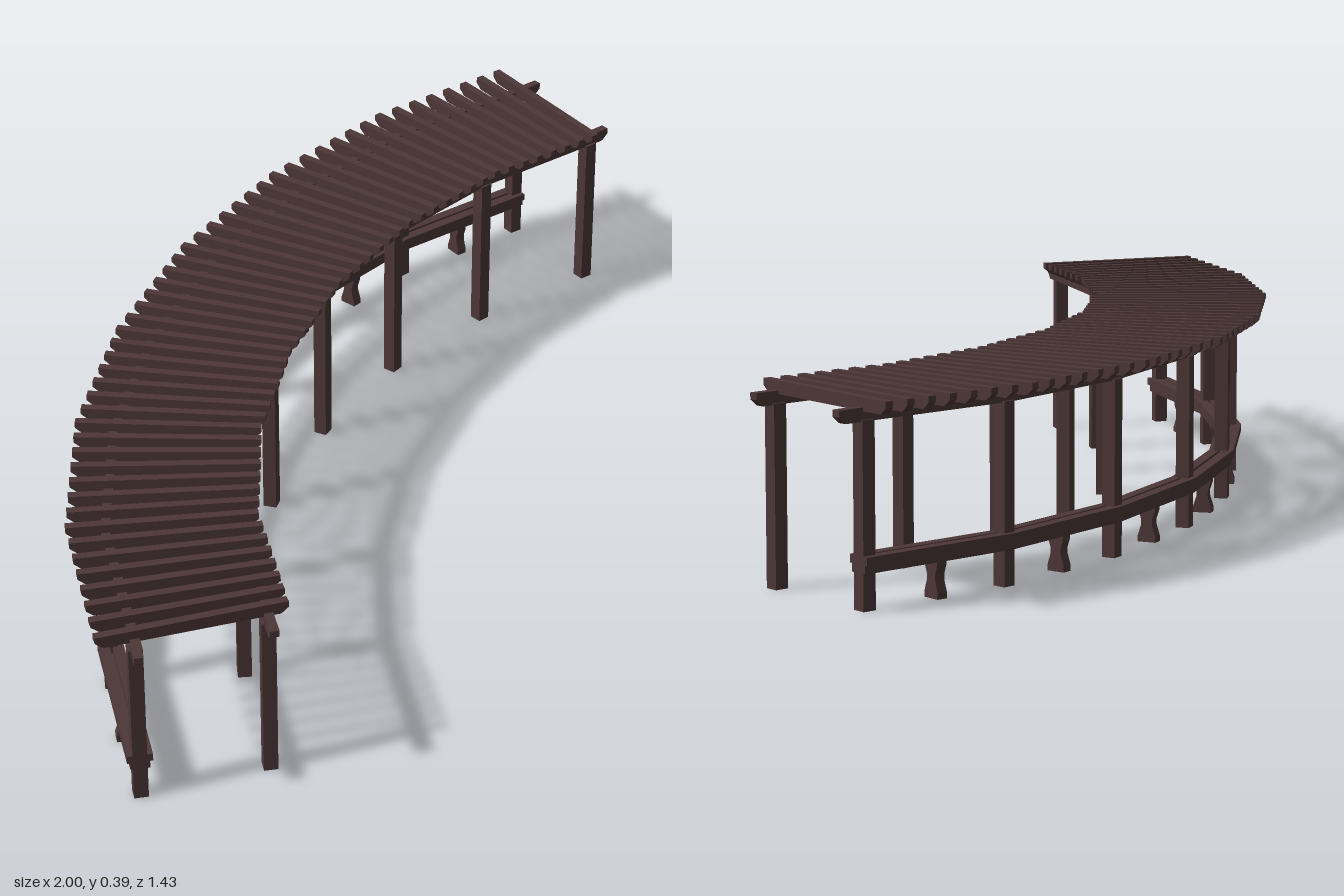
import * as THREE from 'three';

const wood = new THREE.MeshStandardMaterial({ color: 0x4d3737 });
wood.name = 'dark stained wood';

// Post positions in plan [x, z], from the right-hand end round to the left
const OUTER = [[0.935, -0.643], [0.603, -0.643], [0.267, -0.573], [-0.05, -0.443],
  [-0.335, -0.257], [-0.583, -0.026], [-0.787, 0.255], [-0.927, 0.566]];
const INNER = [[0.938, -0.386], [0.633, -0.383], [0.345, -0.33], [0.073, -0.22],
  [-0.175, -0.063], [-0.386, 0.135], [-0.556, 0.38], [-0.682, 0.645]];
const toVectors = (list) => list.map(([x, z]) => new THREE.Vector2(x, z));

// Direction of the path at node i, and the mitred sideways vector there
function nodeFrame(path, i) {
  const before = path[Math.max(i - 1, 0)], after = path[Math.min(i + 1, path.length - 1)];
  const d1 = path[i].clone().sub(before).normalize();
  const d2 = after.clone().sub(path[i]).normalize();
  const dir = d1.clone().add(d2).normalize();
  const scale = i > 0 && i < path.length - 1 ? 1 / dir.dot(d2) : 1;
  return { dir, side: new THREE.Vector2(-dir.y, dir.x).multiplyScalar(scale) };
}

// Mitred rail following a path, between two sideways offsets and two heights
function band(path, from, to, y0, y1) {
  const edge = (offset) => path.map((p, i) => {
    const { side } = nodeFrame(path, i);
    return new THREE.Vector2(p.x + side.x * offset, -(p.y + side.y * offset));
  });
  const shape = new THREE.Shape([...edge(from), ...edge(to).reverse()]);
  const geo = new THREE.ExtrudeGeometry(shape, { depth: y1 - y0, bevelEnabled: false });
  return geo.rotateX(-Math.PI / 2).translate(0, y0, 0);
}

// Straight timber along local x with its lower ends cut at a slant
function timber(length, height, width, cutStart, cutEnd) {
  const h = length / 2;
  const shape = new THREE.Shape();
  shape.moveTo(-h + cutStart, 0);
  shape.lineTo(h - cutEnd, 0);
  shape.lineTo(h, height * 0.5);
  shape.lineTo(h, height);
  shape.lineTo(-h, height);
  shape.lineTo(-h, height * 0.5);
  const geo = new THREE.ExtrudeGeometry(shape, { depth: width, bevelEnabled: false });
  return geo.translate(0, 0, -width / 2);
}

// Waisted bench leg, broad across the seat
function legGeometry() {
  const half = [[0.019, 0], [0.019, 0.012], [0.012, 0.034], [0.012, 0.046], [0.018, 0.064], [0.018, 0.074]];
  const points = [...half, ...half.map(([x, y]) => [-x, y]).reverse()];
  const shape = new THREE.Shape(points.map(([x, y]) => new THREE.Vector2(x, y)));
  return new THREE.ExtrudeGeometry(shape, { depth: 0.022, bevelEnabled: false })
    .translate(0, 0, -0.011).rotateY(Math.PI / 2);
}

export function createModel() {
  const model = new THREE.Group();
  model.name = 'curvedPergola';

  function add(name, geo, x = 0, y = 0, z = 0, dir = null) {
    const mesh = new THREE.Mesh(geo, wood);
    mesh.name = name;
    mesh.position.set(x, y, z);
    if (dir) mesh.rotation.y = Math.atan2(-dir.y, dir.x);
    model.add(mesh);
  }

  const outer = toVectors(OUTER), inner = toVectors(INNER);
  const postGeo = new THREE.BoxGeometry(0.028, 0.35, 0.028).translate(0, 0.175, 0);

  // Two rows of posts, each carrying a beam with overhanging tapered tips
  const tips = { outer: [[1, -0.645], [-0.957, 0.627]], inner: [[0.99, -0.388], [-0.71, 0.708]] };
  for (const [row, path] of [['outer', outer], ['inner', inner]]) {
    path.forEach((p, i) => add(row + 'Post', postGeo, p.x, 0, p.y, nodeFrame(path, i).dir));
    add(row + 'Beam', band(path, -0.009, 0.009, 0.347, 0.373));
    toVectors(tips[row]).forEach((tip, i) => {
      const root = path[i * (path.length - 1)];
      const dir = tip.clone().sub(root);
      const mid = tip.clone().add(root).multiplyScalar(0.5);
      add(row + 'BeamTip', timber(dir.length(), 0.026, 0.018, 0, 0.015), mid.x, 0.347, mid.y, dir);
    });
  }

  // Roof slats fanned evenly round the curve, seven to each bay
  const slatGeo = timber(0.372, 0.025, 0.017, 0.015, 0.015);
  const perBay = 7, count = perBay * (outer.length - 1);
  for (let i = 0; i <= count; i++) {
    const bay = Math.min(Math.floor(i / perBay), outer.length - 2);
    const p = outer[bay].clone().lerp(outer[bay + 1], i / perBay - bay);
    const angle = THREE.MathUtils.degToRad(91.5 - 73 * i / count);
    const dir = new THREE.Vector2(Math.cos(angle), Math.sin(angle));
    p.addScaledVector(dir, 0.186 - 0.076);
    add('roofSlat', slatGeo, p.x, 0.366, p.y, dir);
  }

  // Bench along the outer posts: two seat planks over a narrower frame
  const seat = outer.map((p) => p.clone());
  const last = seat.length - 1;
  seat[0].addScaledVector(nodeFrame(outer, 0).dir, -0.014);
  seat[last].addScaledVector(nodeFrame(outer, last).dir, 0.014);
  add('seatPlankBack', band(seat, 0.003, 0.025, 0.086, 0.102));
  add('seatPlankFront', band(seat, -0.025, -0.003, 0.086, 0.102));
  add('seatFrame', band(seat, -0.019, 0.019, 0.07, 0.086));

  // One leg under the middle of every bench bay
  const legGeo = legGeometry();
  for (let i = 0; i < last; i++) {
    const mid = outer[i].clone().add(outer[i + 1]).multiplyScalar(0.5);
    add('benchLeg', legGeo, mid.x, 0, mid.y, outer[i + 1].clone().sub(outer[i]));
  }
  return model;
}
